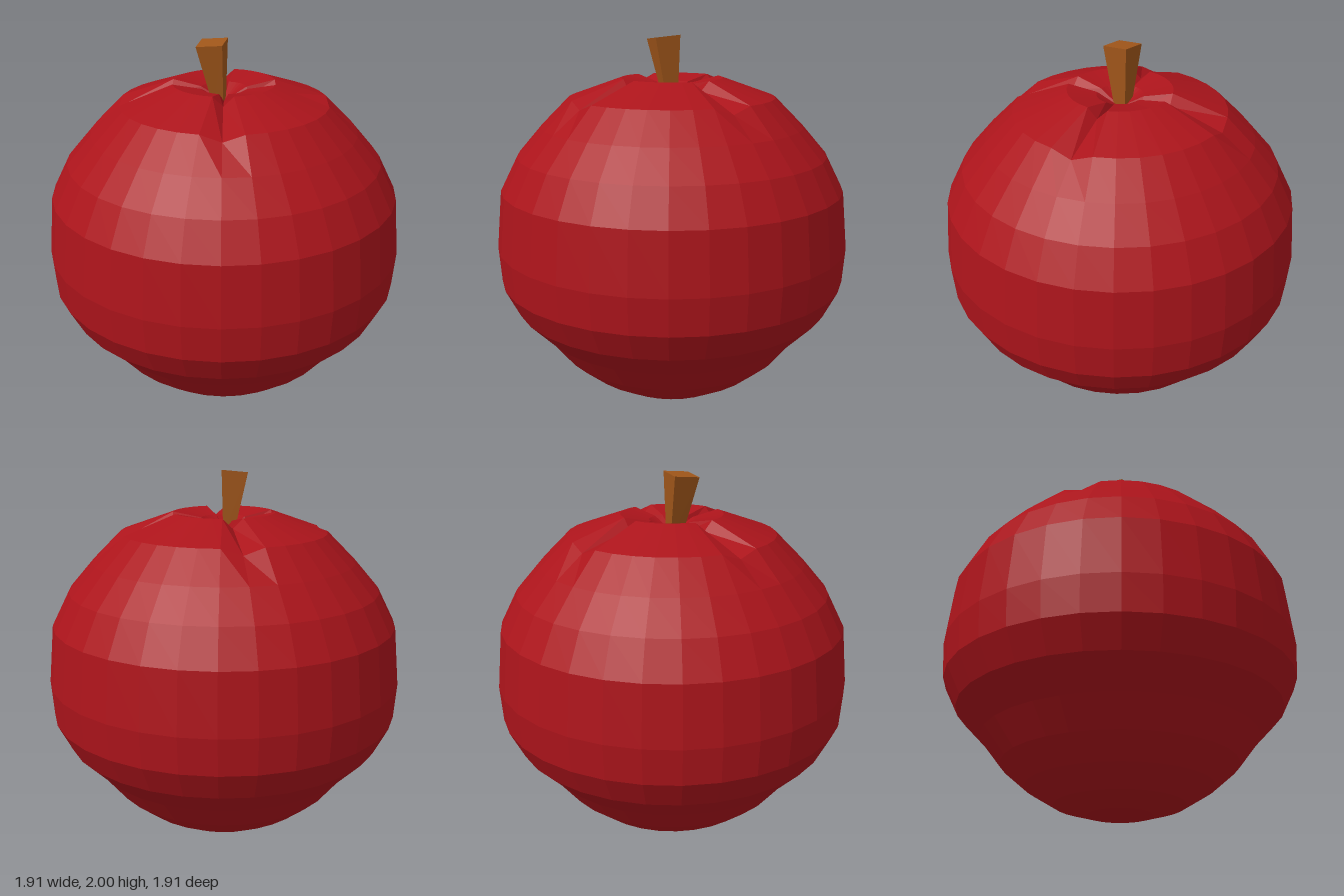
import * as THREE from 'three';

const SIDES = 32;

// Faceted fruit: a lathed profile with four grooves pressed into the crown
function createBody() {
  const profile = [
    [0, 0], [0.17, 0.02], [0.34, 0.07], [0.49, 0.16], [0.62, 0.27], [0.73, 0.41],
    [0.865, 0.55], [0.94, 0.70], [0.953, 0.89], [0.922, 1.2], [0.83, 1.38],
    [0.70, 1.53], [0.55, 1.68], [0.27, 1.78], [0.12, 1.75], [0, 1.68],
  ].map(([r, y]) => new THREE.Vector2(r, y));
  const geometry = new THREE.LatheGeometry(profile, SIDES);

  // Depth of the groove at each crown ring
  const drops = { 12: 0.035, 13: 0.05, 14: 0.045 };
  const pos = geometry.attributes.position;
  for (let i = 0; i <= SIDES; i++) {
    if (i % 8 !== 1) continue;
    for (const ring in drops) {
      const v = i * profile.length + Number(ring);
      pos.setY(v, pos.getY(v) - drops[ring]);
    }
  }
  geometry.computeVertexNormals();
  const body = new THREE.Mesh(geometry, new THREE.MeshStandardMaterial({ color: 0xac141b, flatShading: true }));
  body.name = 'fruitBody';
  return body;
}

// Square stem that widens and leans as it rises, with a slanted cut on top
function createStem() {
  const geometry = new THREE.BoxGeometry(2, 2, 2);
  const pos = geometry.attributes.position;
  for (let i = 0; i < pos.count; i++) {
    const x = pos.getX(i), z = pos.getZ(i);
    if (pos.getY(i) > 0) {
      pos.setXYZ(i, -0.057 + x * 0.068, 1.988 + (x - z) * 0.006, 0.026 + z * 0.069);
    } else {
      pos.setXYZ(i, -0.024 + x * 0.027, 1.66, z * 0.032);
    }
  }
  geometry.computeVertexNormals();
  const stem = new THREE.Mesh(geometry, new THREE.MeshStandardMaterial({ color: 0xa0561a, flatShading: true }));
  stem.name = 'stem';
  return stem;
}

export function createModel() {
  const model = new THREE.Group();
  model.name = 'apple';
  model.add(createBody(), createStem());
  return model;
}
